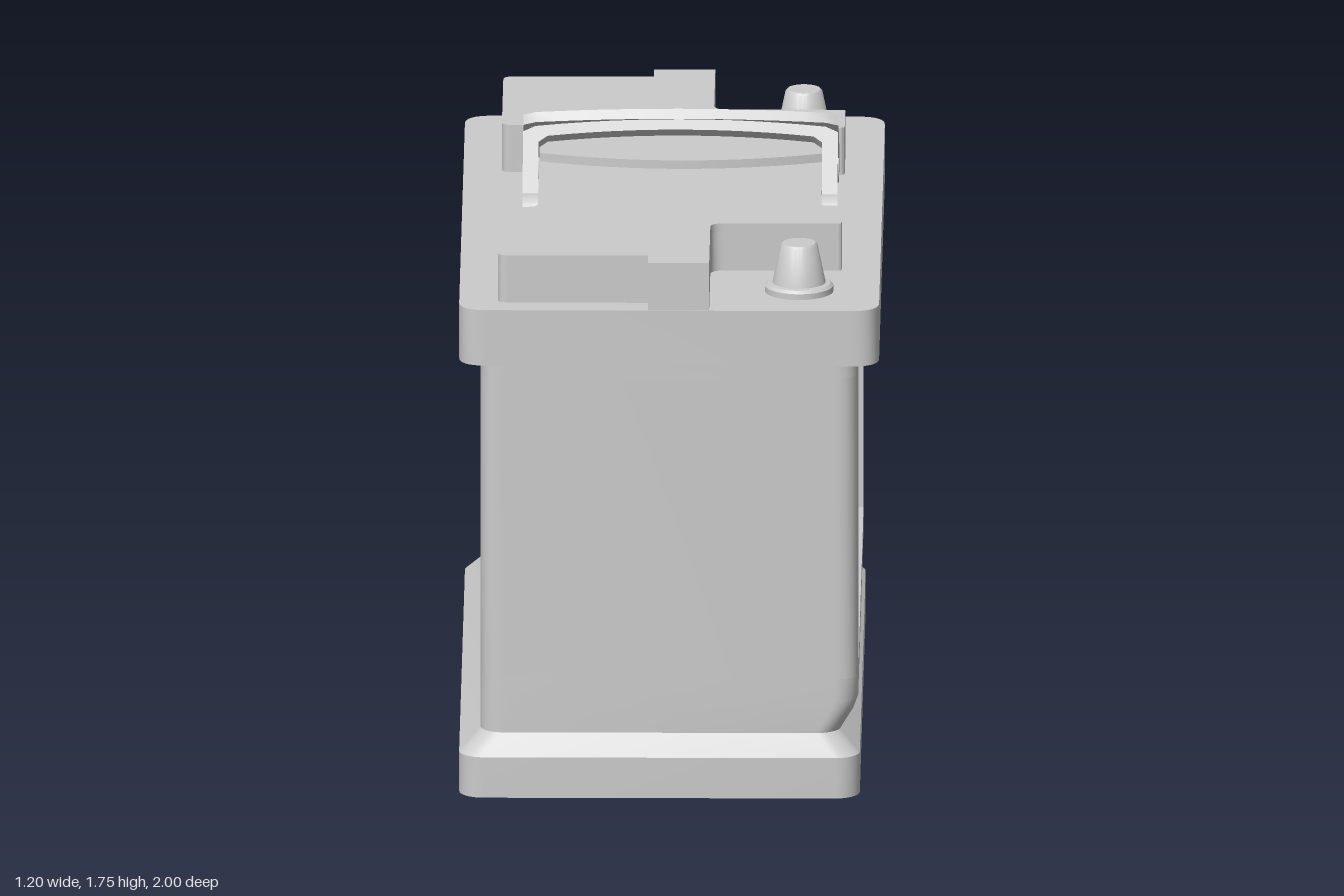
import * as THREE from 'three';
import { toCreasedNormals } from 'three/addons/utils/BufferGeometryUtils.js';

const material = new THREE.MeshStandardMaterial({ color: 0xcccccc });

function part(name, geometry, parent) {
  const mesh = new THREE.Mesh(toCreasedNormals(geometry, 0.6), material);
  mesh.name = name;
  parent.add(mesh);
  return mesh;
}

// Closed outline through [x, y, radius] corners, rounding where a radius is given
function outline(corners) {
  const shape = new THREE.Shape();
  const n = corners.length;
  corners.forEach(([x, y, r = 0], i) => {
    const p = new THREE.Vector2(x, y);
    const toward = ([qx, qy]) => new THREE.Vector2(qx, qy).sub(p).setLength(r).add(p);
    const a = r ? toward(corners[(i + n - 1) % n]) : p;
    const b = r ? toward(corners[(i + 1) % n]) : p;
    if (i === 0) shape.moveTo(a.x, a.y);
    else shape.lineTo(a.x, a.y);
    if (r) shape.quadraticCurveTo(p.x, p.y, b.x, b.y);
  });
  shape.closePath();
  return shape;
}

// Upright slab from a plan of [x, z, radius] corners
function slab(corners, y0, y1) {
  const shape = outline(corners.map(([x, z, r]) => [x, -z, r]));
  const g = new THREE.ExtrudeGeometry(shape, { depth: y1 - y0, bevelEnabled: false, curveSegments: 8 });
  return g.rotateX(-Math.PI / 2).translate(0, y0, 0);
}

const rect = (x0, x1, z, r) => [[x0, -z, r], [x0, z, r], [x1, z, r], [x1, -z, r]];

// Capped skin over rounded rectangles [y, x0, x1, halfZ, radius]
function loft(sections) {
  const pos = [], idx = [], S = 8, N = 4 * (S + 1);
  for (const [y, x0, x1, hz, r] of sections) {
    for (let c = 0; c < 4; c++) {
      const cx = c === 0 || c === 3 ? x1 - r : x0 + r;
      const cz = c < 2 ? -hz + r : hz - r;
      for (let s = 0; s <= S; s++) {
        const a = (c + s / S) * Math.PI / 2;
        pos.push(cx + r * Math.cos(a), y, cz - r * Math.sin(a));
      }
    }
  }
  const last = (sections.length - 1) * N;
  for (let k = 0; k < last; k += N) {
    for (let i = 0; i < N; i++) {
      const j = (i + 1) % N;
      idx.push(k + i, k + j, k + N + j, k + i, k + N + j, k + N + i);
    }
  }
  for (let i = 1; i < N - 1; i++) idx.push(0, i + 1, i, last, last + i, last + i + 1);
  const g = new THREE.BufferGeometry();
  g.setAttribute('position', new THREE.Float32BufferAttribute(pos, 3));
  g.setIndex(idx);
  return g;
}

// Corners of one half of the raised cover, from its right waist to its left waist
const coverHalf = (s) => [
  [-0.38, 0.42, 0.03], [-0.49, 0.42, 0.03], [-0.49, 0.92, 0.03], [-0.06, 0.92],
  [-0.06, 0.995], [0.115, 0.995], [0.115, 0.585, 0.04], [0.49, 0.585, 0.01],
  [0.49, 0.4, 0.015], [0.43, 0.4, 0.015],
].map(([x, z, r]) => [x, z * s, r]);

function makeHandle() {
  const handle = new THREE.Group();
  const mid = 0.025, outer = 0.45, inner = 0.405, depth = 0.032;

  // Flat U-shaped bail with a bowed grip
  const bow = (half, end, rise) => Array.from({ length: 13 }, (_, i) => {
    const t = i / 6 - 1;
    return [t * half, end + rise * (1 - t * t)];
  });
  const shape = outline([
    [-outer, 0.05], [-outer, 0.27], ...bow(0.415, 0.288, 0.024), [outer, 0.27], [outer, 0.05],
    [inner, 0.05], [inner, 0.235], ...bow(0.38, 0.255, 0.022).reverse(), [-inner, 0.235], [-inner, 0.05],
  ]);
  const bail = part('handleBail', new THREE.ExtrudeGeometry(shape, { depth, bevelEnabled: false })
    .translate(0, 0, -depth / 2), handle);
  bail.position.x = mid;
  bail.rotation.x = -THREE.MathUtils.degToRad(48);

  // Pivot eyes and pins at both ends
  const ring = new THREE.Shape().absarc(0, 0, 0.06, 0, Math.PI * 2);
  ring.holes.push(new THREE.Path().absarc(0, 0, 0.036, 0, Math.PI * 2, true));
  for (const s of [-1, 1]) {
    const x = mid + s * (outer + inner) / 2;
    part('handleEye', new THREE.ExtrudeGeometry(ring, { depth: 0.045, bevelEnabled: false, curveSegments: 16 })
      .translate(0, 0, -0.0225).rotateY(Math.PI / 2), handle).position.x = x;
    part('handlePin', new THREE.CylinderGeometry(0.028, 0.028, 0.045, 24)
      .rotateZ(Math.PI / 2), handle).position.x = x - s * 0.004;
  }
  return handle;
}

export function createModel() {
  const model = new THREE.Group();
  model.name = 'battery';

  // Foot with a sloping ledge
  part('foot', loft([
    [0, -0.6, 0.545, 1, 0.07], [0.12, -0.6, 0.545, 1, 0.07], [0.18, -0.54, 0.485, 0.95, 0.06],
  ]), model);

  // Case: tapered bottom, middle with a recessed label panel, top band
  part('caseBottom', loft([
    [0.175, -0.54, 0.487, 0.95, 0.07], [0.24, -0.54, 0.527, 0.95, 0.07],
    [0.275, -0.54, 0.54, 0.95, 0.07], [0.34, -0.54, 0.54, 0.95, 0.07],
  ]), model);
  const [a, b, c, d] = rect(-0.54, 0.54, 0.95, 0.07);
  part('caseMiddle', slab([
    a, b, c, [0.54, 0.825], [0.525, 0.825], [0.525, -0.825], [0.54, -0.825], d,
  ], 0.34, 1.235), model);
  part('caseTop', slab([a, b, c, d], 1.235, 1.29), model);

  // Lid with its raised cover; the upper plates leave a shallow channel for the handles
  part('lid', slab(rect(-0.6, 0.6, 1, 0.08), 1.285, 1.45), model);
  part('cover', slab([...coverHalf(1), ...coverHalf(-1).reverse()], 1.45, 1.565), model);
  for (const s of [1, -1]) {
    const edge = Array.from({ length: 17 }, (_, i) => {
      const t = 1 - i / 8;
      return [0.025 + 0.405 * t, s * (0.06 + 0.075 * t * t)];
    });
    part('coverPlate', slab([...coverHalf(s), ...edge], 1.565, 1.59), model);
  }

  // Terminal posts
  const post = [[0, 0], [0.098, 0], [0.098, 0.018], [0.09, 0.026], [0.076, 0.028],
    [0.053, 0.138], [0.047, 0.144], [0, 0.144]].map(([x, y]) => new THREE.Vector2(x, y));
  for (const s of [1, -1]) {
    part('terminal', new THREE.LatheGeometry(post, 40), model).position.set(0.37, 1.449, s * 0.79);
  }

  // Pair of folding handles leaning towards each other
  for (const s of [1, -1]) {
    const handle = makeHandle();
    handle.name = s > 0 ? 'frontHandle' : 'backHandle';
    handle.position.set(s > 0 ? 0 : 0.05, 1.525, s * 0.275);
    if (s < 0) handle.rotation.y = Math.PI;
    model.add(handle);
  }
  return model;
}
